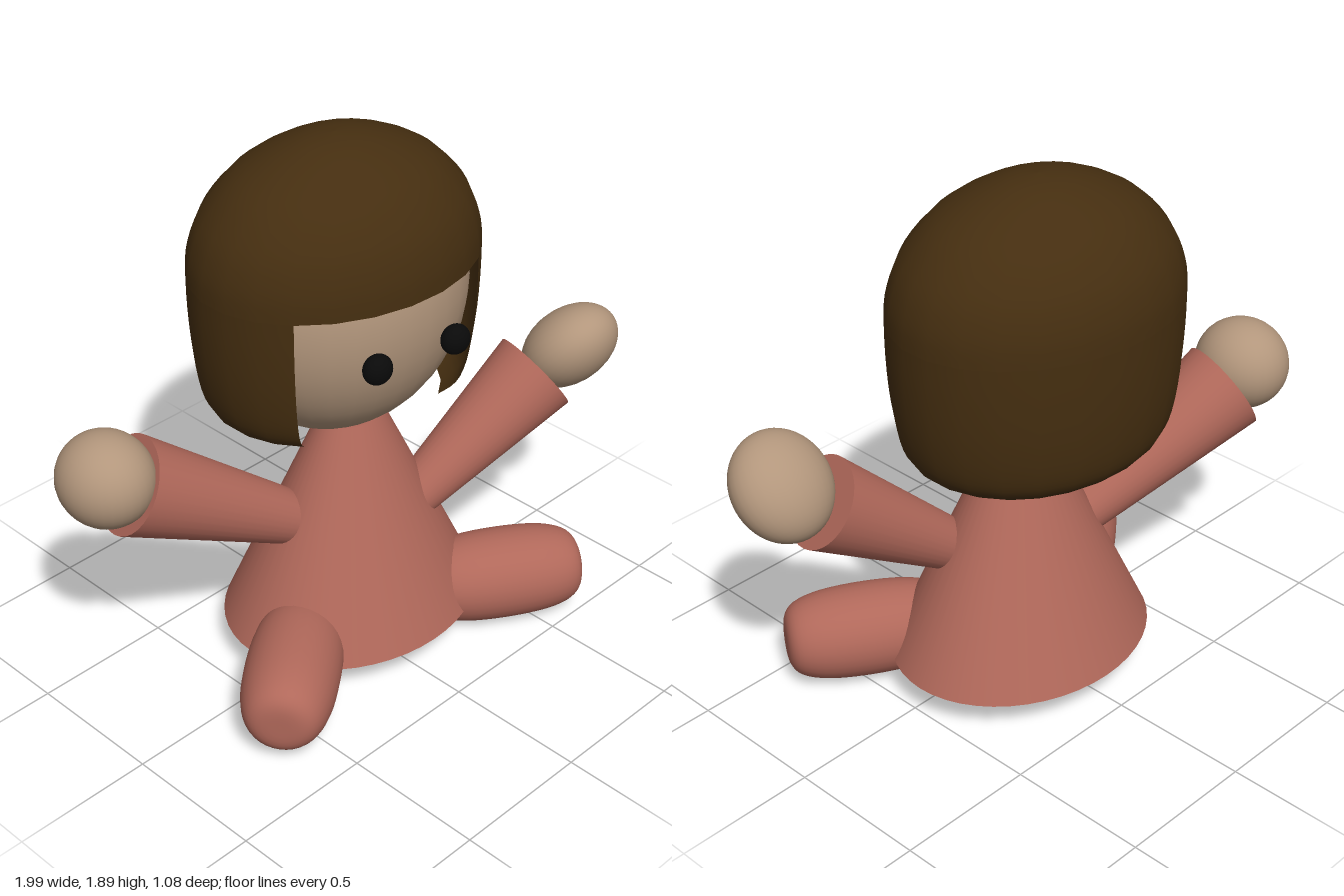
import * as THREE from 'three';

const material = (color, side = THREE.FrontSide) => new THREE.MeshStandardMaterial({ color, side });
const cloth = material(0xb0685a);
const skin = material(0xb2967c);
const hairMat = material(0x452e10, THREE.DoubleSide);
const black = material(0x0a0a0a);

const UP = new THREE.Vector3(0, 1, 0);

function add(parent, name, geometry, mat) {
  const mesh = new THREE.Mesh(geometry, mat);
  mesh.name = name;
  parent.add(mesh);
  return mesh;
}

// Smooth profile through a few [radius, y] points, listed from bottom to top
function profile(points, steps) {
  const curve = new THREE.SplineCurve(points.map(([r, y]) => new THREE.Vector2(r, y)));
  return curve.getPoints(steps).map((p) => p.set(Math.max(p.x, 0), p.y));
}

// Place a mesh, modelled along y around its centre, between two points
function span(mesh, from, to) {
  const dir = to.clone().sub(from);
  mesh.position.copy(from).addScaledVector(dir, 0.5);
  mesh.quaternion.setFromUnitVectors(UP, dir.normalize());
}

// Sleeve widening from the shoulder to the cuff
function addArm(parent, name, from, to, innerRadius, outerRadius) {
  const a = new THREE.Vector3(...from);
  const b = new THREE.Vector3(...to);
  const arm = add(parent, name, new THREE.CylinderGeometry(outerRadius, innerRadius, a.distanceTo(b), 32), cloth);
  span(arm, a, b);
}

// Stubby barrel with rounded ends
function addLeg(parent, name, from, to) {
  const a = new THREE.Vector3(...from);
  const b = new THREE.Vector3(...to);
  const h = a.distanceTo(b) / 2;
  const points = profile([
    [0, -h], [0.08, -h + 0.005], [0.128, -h + 0.045], [0.155, -h + 0.14],
    [0.163, 0], [0.155, h - 0.14], [0.128, h - 0.045], [0.08, h - 0.005], [0, h],
  ], 32);
  span(add(parent, name, new THREE.LatheGeometry(points, 32), cloth), a, b);
}

function addEllipsoid(parent, name, mat, position, scale, tilt = 0) {
  const mesh = add(parent, name, new THREE.SphereGeometry(1, 32, 24), mat);
  mesh.position.set(...position);
  mesh.scale.set(...scale);
  mesh.rotation.x = tilt;
}

export function createModel() {
  const model = new THREE.Group();
  model.name = 'doll';

  // Dress: oval cone, reaching up into the head
  const dress = add(model, 'dress', new THREE.CylinderGeometry(0.12, 0.49, 0.762, 48), cloth);
  dress.position.set(0.035, 0.511, -0.055);
  dress.scale.z = 0.827;

  // Arms and hands
  addArm(model, 'leftArm', [0.19, 0.48, 0.057], [0.705, 0.855, 0.19], 0.08, 0.16);
  addArm(model, 'rightArm', [-0.14, 0.5, -0.095], [-0.755, 0.868, -0.28], 0.085, 0.17);
  addEllipsoid(model, 'leftHand', skin, [0.813, 0.94, 0.25], [0.177, 0.19, 0.132], 0.7);
  addEllipsoid(model, 'rightHand', skin, [-0.84, 0.93, -0.29], [0.16, 0.162, 0.17]);

  // Legs
  addLeg(model, 'leftLeg', [0.2, 0.166, 0.14], [0.69, 0.164, 0.44]);
  addLeg(model, 'rightLeg', [-0.24, 0.17, -0.01], [-0.69, 0.17, 0.335]);

  // Head group, turned slightly to its right
  const head = new THREE.Group();
  head.name = 'head';
  head.position.set(0.047, 0, -0.14);
  head.rotation.y = -0.16;
  model.add(head);
  addEllipsoid(head, 'face', skin, [0, 1.35, 0], [0.468, 0.51, 0.395]);
  for (const [name, s] of [['leftEye', 1], ['rightEye', -1]]) {
    addEllipsoid(head, name, black, [s * 0.155, 1.29, 0.44], [0.052, 0.052, 0.042]);
  }

  // Hair: full cap above the fringe line, open at the front below it
  const hair = new THREE.Group();
  hair.name = 'hair';
  hair.scale.set(0.52, 1, 0.41);
  head.add(hair);
  const cap = profile([
    [0.997, 1.45], [0.98, 1.54], [0.9, 1.65], [0.72, 1.76], [0.48, 1.835], [0.22, 1.882], [0, 1.895],
  ], 20);
  const curtain = profile([
    [0.74, 0.92], [0.86, 0.965], [0.93, 1.04], [0.975, 1.17], [0.995, 1.32], [0.997, 1.45],
  ], 14);
  add(hair, 'hairCap', new THREE.LatheGeometry(cap, 24), hairMat);
  add(hair, 'hairSides', new THREE.LatheGeometry(curtain, 18, Math.PI / 4, Math.PI * 1.5), hairMat);

  return model;
}
